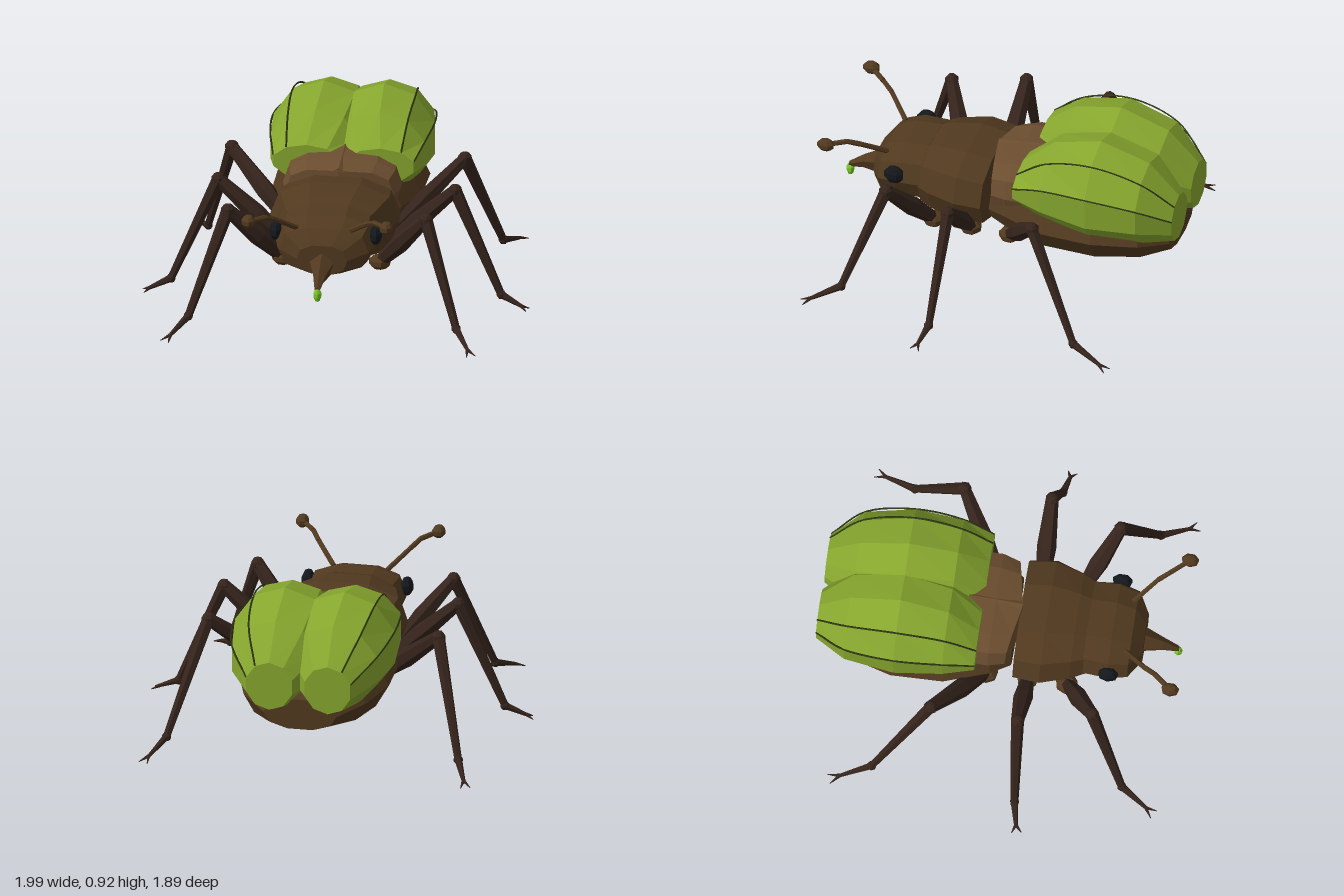
import * as THREE from 'three';

const mat = (color) => new THREE.MeshStandardMaterial({ color, flatShading: true });
const BODY = mat(0x51391f), LIGHT = mat(0x6b4d2f), LEG = mat(0x35241c);
const GREEN = mat(0x86a62e), RIDGE = mat(0x2c3512), EYE = mat(0x14181c), DROP = mat(0x7ccb28);

function add(parent, name, geometry, material, pos = [0, 0, 0]) {
  const m = new THREE.Mesh(geometry, material);
  m.name = name;
  m.position.set(...pos);
  parent.add(m);
  return m;
}

// Point of a ring [z, cx, cy, rx, ry]; power < 1 makes the section boxier
function ringPoint([z, cx, cy, rx, ry], a, power = 1) {
  const f = (v) => Math.sign(v) * Math.pow(Math.abs(v), power);
  return new THREE.Vector3(cx + rx * f(Math.cos(a)), cy + ry * f(Math.sin(a)), z);
}

// Closed loft through rings listed from front to back
function loft(rings, sides = 10, turn = 0, power = 1) {
  const pos = [], idx = [];
  for (const r of rings)
    for (let i = 0; i < sides; i++)
      pos.push(...ringPoint(r, turn + (i / sides) * Math.PI * 2, power).toArray());
  const last = (rings.length - 1) * sides, c0 = rings.length * sides;
  for (const r of [rings[0], rings[rings.length - 1]]) pos.push(r[1], r[2], r[0]);
  for (let i = 0; i < sides; i++) {
    const j = (i + 1) % sides;
    for (let k = 0; k < last; k += sides)
      idx.push(k + i, k + sides + i, k + j, k + j, k + sides + i, k + sides + j);
    idx.push(c0, i, j, c0 + 1, last + j, last + i);
  }
  const g = new THREE.BufferGeometry();
  g.setAttribute('position', new THREE.Float32BufferAttribute(pos, 3));
  g.setIndex(idx);
  g.computeVertexNormals();
  return g;
}

// Tapered rod from a to b
function rod(parent, name, a, b, ra, rb, material, sides = 6) {
  const A = new THREE.Vector3(...a), B = new THREE.Vector3(...b), d = B.clone().sub(A);
  const m = add(parent, name, new THREE.CylinderGeometry(rb, ra, d.length(), sides), material);
  m.position.copy(A).add(B).multiplyScalar(0.5);
  m.quaternion.setFromUnitVectors(new THREE.Vector3(0, 1, 0), d.normalize());
  return m;
}

function ball(parent, name, p, rx, ry, rz, material) {
  const m = add(parent, name, new THREE.SphereGeometry(1, 7, 5), material, p);
  m.scale.set(rx, ry, rz);
  return m;
}

const mix = (a, b, t) => a.map((v, i) => v + (b[i] - v) * t);

function makeLeg(name, s, hip, knee, ankle, toe) {
  const leg = new THREE.Group();
  leg.name = name;
  const [h, k, a, t] = [hip, knee, ankle, toe].map(([x, y, z]) => [x * s, y, z]);
  ball(leg, 'coxa', h, 0.06, 0.04, 0.06, BODY);
  // Thigh swells in the middle
  const mid = mix(h, k, 0.45);
  rod(leg, 'upperThigh', h, mid, 0.032, 0.05, LEG);
  rod(leg, 'lowerThigh', mid, k, 0.05, 0.033, LEG);
  ball(leg, 'knee', k, 0.037, 0.035, 0.037, LEG);
  rod(leg, 'shin', k, a, 0.034, 0.02, LEG);
  ball(leg, 'ankle', a, 0.025, 0.025, 0.025, LEG);
  // Foot ends in a two-pronged claw
  const fork = mix(a, t, 0.75);
  rod(leg, 'foot', a, fork, 0.02, 0.01, LEG);
  const dx = t[0] - a[0], dz = t[2] - a[2], l = Math.hypot(dx, dz);
  for (const e of [-1, 1])
    rod(leg, 'claw', fork, [t[0] - (e * 0.025 * dz) / l, 0.004, t[2] + (e * 0.025 * dx) / l], 0.01, 0.002, LEG, 5);
  return leg;
}

export function createModel() {
  const g = new THREE.Group();
  g.name = 'beetle';

  // Body sections
  add(g, 'abdomen', loft([
    [0.05, 0, 0.41, 0.24, 0.12], [-0.05, 0, 0.44, 0.31, 0.17], [-0.28, 0, 0.43, 0.385, 0.19],
    [-0.55, 0, 0.43, 0.39, 0.19], [-0.78, 0, 0.42, 0.32, 0.155], [-0.91, 0, 0.385, 0.19, 0.085],
  ], 10, 0, 0.9), BODY);
  add(g, 'thorax', loft([
    [0.43, 0, 0.465, 0.25, 0.16], [0.36, 0, 0.465, 0.285, 0.185], [0.21, 0, 0.47, 0.335, 0.195],
    [0.07, 0, 0.46, 0.32, 0.185],
  ], 10, 0, 0.8), BODY);
  add(g, 'head', loft([
    [0.71, 0, 0.43, 0.13, 0.08], [0.65, 0, 0.46, 0.235, 0.125], [0.55, 0, 0.475, 0.26, 0.145],
    [0.42, 0, 0.475, 0.25, 0.155],
  ], 10, 0, 0.8), BODY);
  add(g, 'snout', loft([
    [0.885, 0, 0.335, 0.015, 0.015], [0.8, 0, 0.375, 0.035, 0.04], [0.68, 0, 0.405, 0.075, 0.08],
  ], 5, Math.PI / 2), BODY);
  ball(g, 'droplet', [0, 0.305, 0.88], 0.022, 0.037, 0.022, DROP);

  // Keeled plate between thorax and wing cases: its front edge is swept into a V
  const plate = loft([
    [0.08, 0, 0.53, 0.28, 0.14], [-0.06, 0, 0.54, 0.305, 0.155], [-0.25, 0, 0.54, 0.3, 0.17],
  ], 12, 0, 0.75);
  const p = plate.attributes.position;
  for (let i = 0; i < p.count; i++)
    if (p.getZ(i) > 0) p.setZ(i, 0.08 - 0.2 * Math.abs(p.getX(i)));
  plate.computeVertexNormals();
  add(g, 'middlePlate', plate, LIGHT);
  const scutellum = rod(g, 'scutellum', [0, 0.65, 0.07], [0, 0.71, -0.21], 0.05, 0.005, LIGHT, 4);
  scutellum.scale.z = 0.7;

  for (const s of [1, -1]) {
    const side = s > 0 ? 'left' : 'right';

    // Wing case with raised seams along two of its outer edges
    const rings = [
      [-0.12, s * 0.19, 0.63, 0.18, 0.095], [-0.28, s * 0.165, 0.645, 0.245, 0.215],
      [-0.53, s * 0.155, 0.635, 0.275, 0.285], [-0.79, s * 0.15, 0.615, 0.24, 0.225],
      [-0.95, s * 0.152, 0.545, 0.125, 0.13],
    ];
    add(g, side + 'WingCase', loft(rings, 10, Math.PI / 2), GREEN);
    for (const deg of [54, 18]) {
      const a = s > 0 ? (deg * Math.PI) / 180 : Math.PI - (deg * Math.PI) / 180;
      const path = new THREE.CatmullRomCurve3(rings.map((r) => ringPoint(r, a)));
      add(g, side + 'WingSeam', new THREE.TubeGeometry(path, 24, 0.005, 4), RIDGE);
    }

    ball(g, side + 'Eye', [s * 0.257, 0.52, 0.555], 0.035, 0.05, 0.055, EYE);

    // Bent antenna with a club at the tip
    const ant = new THREE.Group();
    ant.name = side + 'Antenna';
    const pts = [[0.14, 0.57, 0.63], [0.24, 0.655, 0.74], [0.28, 0.685, 0.8], [0.355, 0.695, 0.89]]
      .map(([x, y, z]) => [x * s, y, z]);
    for (let i = 0; i < 3; i++) rod(ant, 'antennaSegment', pts[i], pts[i + 1], 0.014, 0.013, BODY);
    ball(ant, 'antennaClub', pts[3], 0.036, 0.034, 0.048, BODY);
    g.add(ant);

    // Legs
    g.add(makeLeg(side + 'FrontLeg', s, [0.25, 0.29, 0.34], [0.51, 0.6, 0.51], [0.69, 0.08, 0.69], [0.79, 0.005, 0.87]));
    g.add(makeLeg(side + 'MiddleLeg', s, [0.25, 0.29, 0.14], [0.61, 0.62, 0.14], [0.85, 0.07, 0.16], [0.99, 0.005, 0.19]));
    g.add(makeLeg(side + 'RearLeg', s, [0.25, 0.29, -0.07], [0.6, 0.62, -0.31], [0.76, 0.07, -0.59], [0.84, 0.005, -0.8]));
  }
  return g;
}
